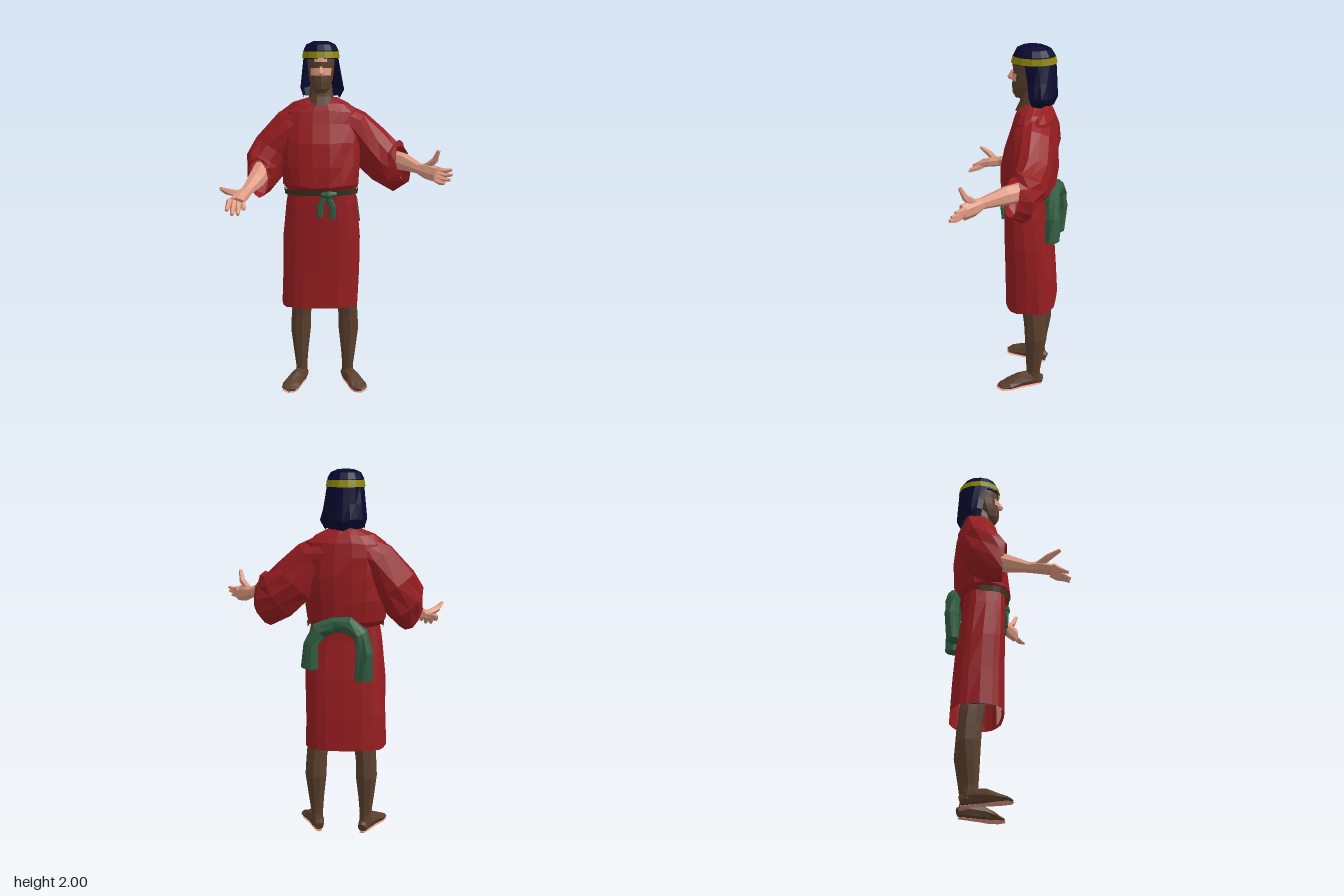
import * as THREE from 'three';

const mat = (name, color, side = THREE.FrontSide) => {
  const m = new THREE.MeshStandardMaterial({ color, flatShading: true, side });
  m.name = name;
  return m;
};

export function createModel() {
  const model = new THREE.Group();
  const red = mat('red cloth', 0x961d20, THREE.DoubleSide);
  const navy = mat('navy cloth', 0x080830, THREE.DoubleSide);
  const gold = mat('gold band', 0x8e8606, THREE.DoubleSide);
  const brown = mat('brown skin', 0x5a3f2d);
  const skin = mat('light skin', 0xe09c84, THREE.DoubleSide);
  const green = mat('green cloth', 0x315d41);
  const sash = mat('dark sash', 0x3c3822, THREE.DoubleSide);

  let seed = 7;
  const rnd = () => ((seed = (seed * 16807) % 2147483647) / 2147483647) * 2 - 1;
  const pw = (v, e) => Math.sign(v) * Math.abs(v) ** e;

  // Joins rings of points, listed from bottom to top, into a skin
  function loft(name, material, rings, { closed = true, cap = true, parent = model } = {}) {
    const n = rings[0].length, pos = rings.flat().flatMap(p => [p.x, p.y, p.z]), idx = [];
    for (let r = 0; r + 1 < rings.length; r++) {
      for (let i = 0; i < (closed ? n : n - 1); i++) {
        const a = r * n + i, b = r * n + (i + 1) % n;
        idx.push(a, a + n, b, b, a + n, b + n);
      }
    }
    if (cap) {
      for (const r of [0, rings.length - 1]) {
        const c = new THREE.Vector3();
        rings[r].forEach(p => c.addScaledVector(p, 1 / n));
        const k = pos.length / 3;
        pos.push(c.x, c.y, c.z);
        for (let i = 0; i < n; i++) {
          const a = r * n + i, b = r * n + (i + 1) % n;
          idx.push(k, r ? b : a, r ? a : b);
        }
      }
    }
    const g = new THREE.BufferGeometry();
    g.setAttribute('position', new THREE.Float32BufferAttribute(pos, 3));
    g.setIndex(idx);
    g.computeVertexNormals();
    const mesh = new THREE.Mesh(g, material);
    mesh.name = name;
    parent.add(mesh);
  }

  // Level rings given as [x, y, z, rx, rz]; e squares them off, wob creases them
  function stack(name, material, rows, { n = 14, e = 1, wob = 0, from = 0, to = 2, ...opts } = {}) {
    const closed = to - from === 2;
    const rings = rows.map(([x, y, z, rx, rz]) => Array.from({ length: n }, (_, i) => {
      const a = Math.PI * (from + (to - from) * i / (closed ? n : n - 1)), k = 1 + wob * rnd();
      return new THREE.Vector3(x + rx * k * pw(Math.cos(a), e), y + wob * 0.2 * rnd(), z + rz * k * pw(Math.sin(a), e));
    }));
    loft(name, material, rings, { closed, ...opts });
  }

  // Rings across a path of [x, y, z, half width, half height]
  function limb(name, material, rows, { n = 7, wob = 0, ...opts } = {}) {
    const pts = rows.map(r => new THREE.Vector3(r[0], r[1], r[2]));
    const rings = rows.map((row, r) => {
      const t = pts[Math.min(r + 1, pts.length - 1)].clone().sub(pts[Math.max(r - 1, 0)]).normalize();
      const side = t.clone().cross(new THREE.Vector3(0, 1, 0)).normalize();
      const up = side.clone().cross(t);
      return Array.from({ length: n }, (_, i) => {
        const a = 2 * Math.PI * i / n, k = 1 + wob * rnd();
        return pts[r].clone().addScaledVector(side, row[3] * k * Math.cos(a)).addScaledVector(up, row[4] * k * Math.sin(a));
      });
    });
    loft(name, material, rings, opts);
  }

  // Tunic: skirt with its inner facings, and bloused top
  stack('skirt', red, [
    [-0.097, 0.503, -0.133, 0.22, 0.143], [-0.094, 0.7, -0.127, 0.22, 0.138], [-0.09, 0.9, -0.117, 0.218, 0.132],
    [-0.09, 1.1, -0.1, 0.202, 0.12], [-0.09, 1.19, -0.1, 0.185, 0.118],
  ], { n: 20, e: 0.68, wob: 0.02, cap: false });
  stack('frontFacing', skin, [[-0.097, 0.51, -0.133, 0.2, 0.13], [-0.097, 0.62, -0.13, 0.2, 0.125]],
    { n: 6, e: 0.68, from: 0.33, to: 0.67, cap: false });
  stack('sideFacing', navy, [[-0.097, 0.505, -0.133, 0.207, 0.133], [-0.097, 0.56, -0.132, 0.205, 0.13]],
    { n: 5, e: 0.68, from: 0.84, to: 1.06, cap: false });
  stack('tunicTop', red, [
    [-0.09, 1.175, -0.105, 0.19, 0.13], [-0.09, 1.21, -0.105, 0.212, 0.153], [-0.09, 1.32, -0.115, 0.225, 0.157],
    [-0.09, 1.45, -0.125, 0.225, 0.145], [-0.09, 1.55, -0.137, 0.228, 0.125], [-0.09, 1.62, -0.14, 0.21, 0.108],
    [-0.09, 1.662, -0.14, 0.155, 0.09], [-0.09, 1.692, -0.145, 0.09, 0.06],
  ], { n: 18, e: 0.9, wob: 0.035 });

  // Wide sleeves, sagging and open at the cuff
  limb('rightSleeve', red, [
    [-0.18, 1.57, -0.14, 0.1, 0.1], [-0.26, 1.53, -0.145, 0.105, 0.112], [-0.355, 1.4, -0.145, 0.11, 0.12],
    [-0.41, 1.31, -0.12, 0.1, 0.125], [-0.43, 1.255, -0.06, 0.075, 0.125], [-0.44, 1.25, -0.015, 0.055, 0.115],
  ], { n: 12, wob: 0.08, cap: false });
  limb('leftSleeve', red, [
    [0, 1.57, -0.14, 0.1, 0.1], [0.085, 1.525, -0.145, 0.1, 0.115], [0.18, 1.41, -0.15, 0.1, 0.13],
    [0.27, 1.335, -0.145, 0.095, 0.13], [0.335, 1.31, -0.11, 0.088, 0.145], [0.37, 1.32, -0.075, 0.06, 0.11],
  ], { n: 12, wob: 0.08, cap: false });

  // Forearm, palm, thumb and fingers
  function arm(name, forearm, knuckles, tips, thumb) {
    const g = new THREE.Group();
    g.name = name;
    model.add(g);
    limb('forearm', skin, forearm, { parent: g });
    tips.forEach((tip, i) => {
      const f = i / (tips.length - 1);
      const base = knuckles[0].map((v, k) => v + (knuckles[1][k] - v) * f);
      const mid = base.map((v, k) => (v + tip[k]) / 2 - (k === 1 ? 0.006 : 0));
      limb('finger', skin, [[...base, 0.018, 0.016], [...mid, 0.016, 0.014], [...tip, 0.009, 0.008]], { n: 5, parent: g });
    });
    limb('thumb', skin, thumb, { n: 5, parent: g });
  }
  arm('rightArm', [
    [-0.42, 1.29, -0.12, 0.055, 0.055], [-0.455, 1.24, 0, 0.05, 0.048], [-0.495, 1.2, 0.11, 0.033, 0.028],
    [-0.52, 1.185, 0.17, 0.047, 0.03], [-0.54, 1.165, 0.23, 0.048, 0.022],
  ], [[-0.575, 1.17, 0.22], [-0.505, 1.16, 0.22]],
  [[-0.585, 1.13, 0.3], [-0.555, 1.11, 0.315], [-0.525, 1.11, 0.315], [-0.495, 1.135, 0.295]],
  [[-0.535, 1.195, 0.15, 0.022, 0.02], [-0.59, 1.215, 0.2, 0.02, 0.018], [-0.617, 1.24, 0.255, 0.01, 0.01]]);
  arm('leftArm', [
    [0.31, 1.34, -0.15, 0.05, 0.055], [0.38, 1.335, -0.05, 0.046, 0.05], [0.45, 1.315, 0.06, 0.03, 0.03],
    [0.49, 1.305, 0.1, 0.034, 0.046], [0.535, 1.295, 0.145, 0.027, 0.045],
  ], [[0.55, 1.32, 0.13], [0.53, 1.27, 0.155]],
  [[0.612, 1.325, 0.165], [0.612, 1.3, 0.185], [0.6, 1.275, 0.197], [0.57, 1.258, 0.205]],
  [[0.48, 1.325, 0.09, 0.02, 0.022], [0.525, 1.37, 0.13, 0.018, 0.018], [0.54, 1.427, 0.155, 0.01, 0.01]]);

  // Bare legs and feet, turned slightly out, with light soles
  for (const [name, s] of [['right', -1], ['left', 1]]) {
    const at = (d, ...rest) => [-0.075 + s * d, ...rest];
    stack(name + 'Leg', brown, [
      at(0.135, 0.03, -0.175, 0.034, 0.04), at(0.137, 0.1, -0.165, 0.033, 0.04), at(0.14, 0.2, -0.17, 0.044, 0.05),
      at(0.141, 0.33, -0.178, 0.06, 0.064), at(0.138, 0.42, -0.172, 0.058, 0.064), at(0.13, 0.5, -0.163, 0.06, 0.068),
      at(0.1, 0.72, -0.125, 0.06, 0.065),
    ], { n: 9 });
    limb(name + 'Foot', brown, [
      at(0.12, 0.034, -0.215, 0.025, 0.025), at(0.135, 0.05, -0.165, 0.038, 0.045), at(0.165, 0.045, -0.09, 0.045, 0.04),
      at(0.192, 0.03, -0.03, 0.055, 0.025), at(0.198, 0.022, 0.005, 0.05, 0.016), at(0.19, 0.017, 0.033, 0.026, 0.009),
    ], { n: 8 });
    limb(name + 'Sole', skin, [
      at(0.12, 0.004, -0.21, 0.015, 0.004), at(0.135, 0.004, -0.165, 0.025, 0.004), at(0.165, 0.004, -0.09, 0.032, 0.004),
      at(0.192, 0.005, -0.03, 0.045, 0.004), at(0.2, 0.007, 0.008, 0.048, 0.004), at(0.192, 0.008, 0.038, 0.026, 0.004),
    ], { n: 8 });
  }

  // Head and neck
  const face = [
    [-0.09, 1.72, -0.06, 0.028, 0.03], [-0.09, 1.745, -0.075, 0.048, 0.06], [-0.09, 1.785, -0.09, 0.062, 0.077],
    [-0.09, 1.816, -0.1, 0.069, 0.085], [-0.09, 1.856, -0.105, 0.072, 0.087], [-0.09, 1.89, -0.11, 0.076, 0.093],
    [-0.09, 1.91, -0.115, 0.077, 0.095], [-0.09, 1.95, -0.12, 0.07, 0.08],
  ];
  stack('head', brown, face, { n: 12 });
  stack('neck', brown, [[-0.09, 1.65, -0.11, 0.078, 0.08], [-0.09, 1.7, -0.12, 0.068, 0.066], [-0.09, 1.78, -0.125, 0.058, 0.058]], { n: 10 });
  const patch = rows => rows.map(([x, y, z, rx, rz]) => [x, y, z, rx + 0.005, rz + 0.005]);
  stack('eyeArea', skin, patch(face.slice(3, 5)), { n: 7, from: 0.23, to: 0.77, cap: false });
  stack('forehead', skin, patch(face.slice(5, 7)), { n: 5, from: 0.36, to: 0.64, cap: false });
  stack('nose', skin, [[-0.09, 1.815, -0.012, 0.012, 0.016], [-0.09, 1.83, -0.008, 0.016, 0.022], [-0.09, 1.865, -0.018, 0.007, 0.01]], { n: 6 });

  // Headcloth, its flaring drape at the back and the band
  stack('headclothCap', navy, [
    [-0.09, 1.905, -0.13, 0.096, 0.116], [-0.09, 1.95, -0.13, 0.097, 0.111], [-0.09, 1.983, -0.127, 0.08, 0.092],
    [-0.09, 2, -0.125, 0.042, 0.055],
  ], { n: 14 });
  stack('headclothDrape', navy, [
    [-0.087, 1.695, -0.16, 0.108, 0.08], [-0.085, 1.74, -0.157, 0.124, 0.104], [-0.086, 1.82, -0.148, 0.108, 0.106],
    [-0.09, 1.915, -0.13, 0.096, 0.115],
  ], { n: 13, wob: 0.05, from: 0.88, to: 2.12, cap: false });
  stack('headband', gold, [[-0.09, 1.91, -0.13, 0.104, 0.124], [-0.09, 1.946, -0.13, 0.099, 0.115]], { n: 14, cap: false });

  // Sash across the front with a knot and two hanging ends
  stack('sash', sash, [[-0.09, 1.16, -0.1, 0.206, 0.134], [-0.09, 1.192, -0.1, 0.21, 0.144]],
    { n: 12, e: 0.72, from: -0.05, to: 1.05, cap: false });
  limb('knot', green, [[-0.09, 1.168, 0.03, 0.015, 0.015], [-0.05, 1.165, 0.036, 0.018, 0.025], [-0.005, 1.17, 0.03, 0.015, 0.016]], { n: 6 });
  for (const [x, y] of [[-0.1, 1.04], [-0.03, 1.03]]) {
    stack('sashEnd', green, [[x, y, 0.027, 0.018, 0.009], [x + 0.004, 1.1, 0.03, 0.02, 0.012], [-0.06, 1.17, 0.03, 0.015, 0.012]], { n: 6 });
  }

  // Folded cloth slung over the back of the sash, hanging at both ends
  const arch = [
    [-0.2, 0.9, -0.265], [-0.2, 1.05, -0.278], [-0.18, 1.15, -0.275], [-0.12, 1.2, -0.265],
    [-0.04, 1.2, -0.255], [0.04, 1.165, -0.255], [0.08, 1.09, -0.262], [0.088, 0.96, -0.262],
  ];
  const rings = arch.map((p, r) => {
    const a = arch[Math.max(r - 1, 0)], b = arch[Math.min(r + 1, arch.length - 1)];
    const t = new THREE.Vector3(b[0] - a[0], b[1] - a[1], 0).normalize();
    return Array.from({ length: 9 }, (_, i) => {
      const q = Math.PI * 2 * i / 9, w = 0.044 * Math.cos(q) * (1 + 0.2 * rnd());
      return new THREE.Vector3(p[0] + t.y * w, p[1] - t.x * w, p[2] + 0.038 * Math.sin(q) * (1 + 0.25 * rnd()));
    });
  });
  loft('slungCloth', green, rings);

  return model;
}
